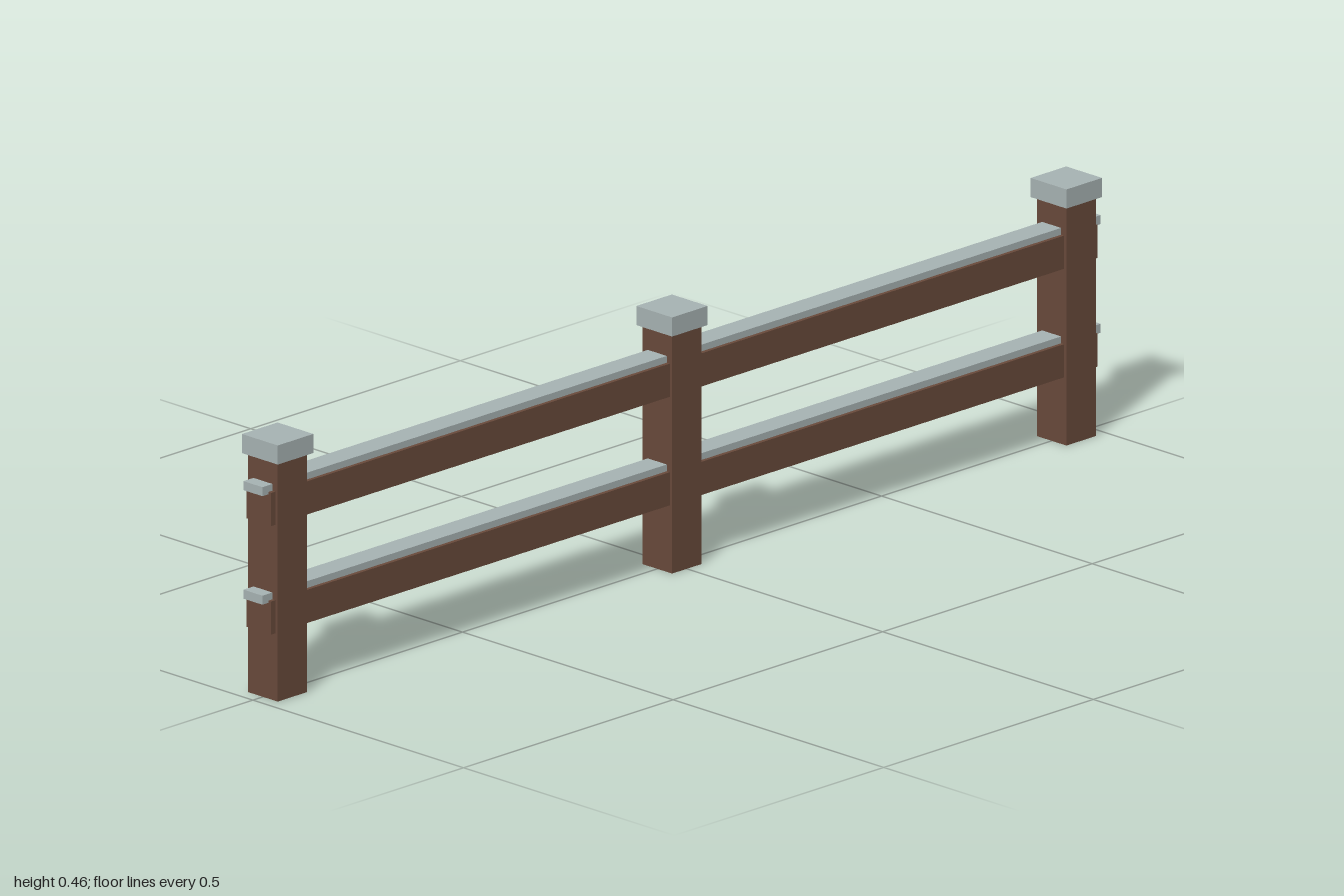
import * as THREE from 'three';

export function createModel() {
  const wood = new THREE.MeshStandardMaterial({ color: 0x694a3b });
  wood.name = 'brown wood';
  const trim = new THREE.MeshStandardMaterial({ color: 0xa7b3b3 });
  trim.name = 'pale grey trim';

  const fence = new THREE.Group();
  fence.name = 'fence';

  // Box given by its size, centre x and bottom height
  function addBox(name, material, width, height, depth, x, bottom) {
    const mesh = new THREE.Mesh(new THREE.BoxGeometry(width, height, depth), material);
    mesh.name = name;
    mesh.position.set(x, bottom + height / 2, 0);
    fence.add(mesh);
  }

  // Three square posts with overhanging caps
  [['right', -0.941], ['middle', 0], ['left', 0.941]].forEach(([side, x]) => {
    addBox(side + 'Post', wood, 0.07, 0.43, 0.07, x, 0);
    addBox(side + 'PostCap', trim, 0.085, 0.034, 0.085, x, 0.425);
  });

  // Two long rails, each with a narrower strip along its top
  [['lower', 0.12], ['upper', 0.313]].forEach(([level, y]) => {
    addBox(level + 'Rail', wood, 1.972, 0.059, 0.059, 0, y);
    addBox(level + 'RailStrip', trim, 2, 0.016, 0.045, 0, y + 0.055);
  });

  return fence;
}
